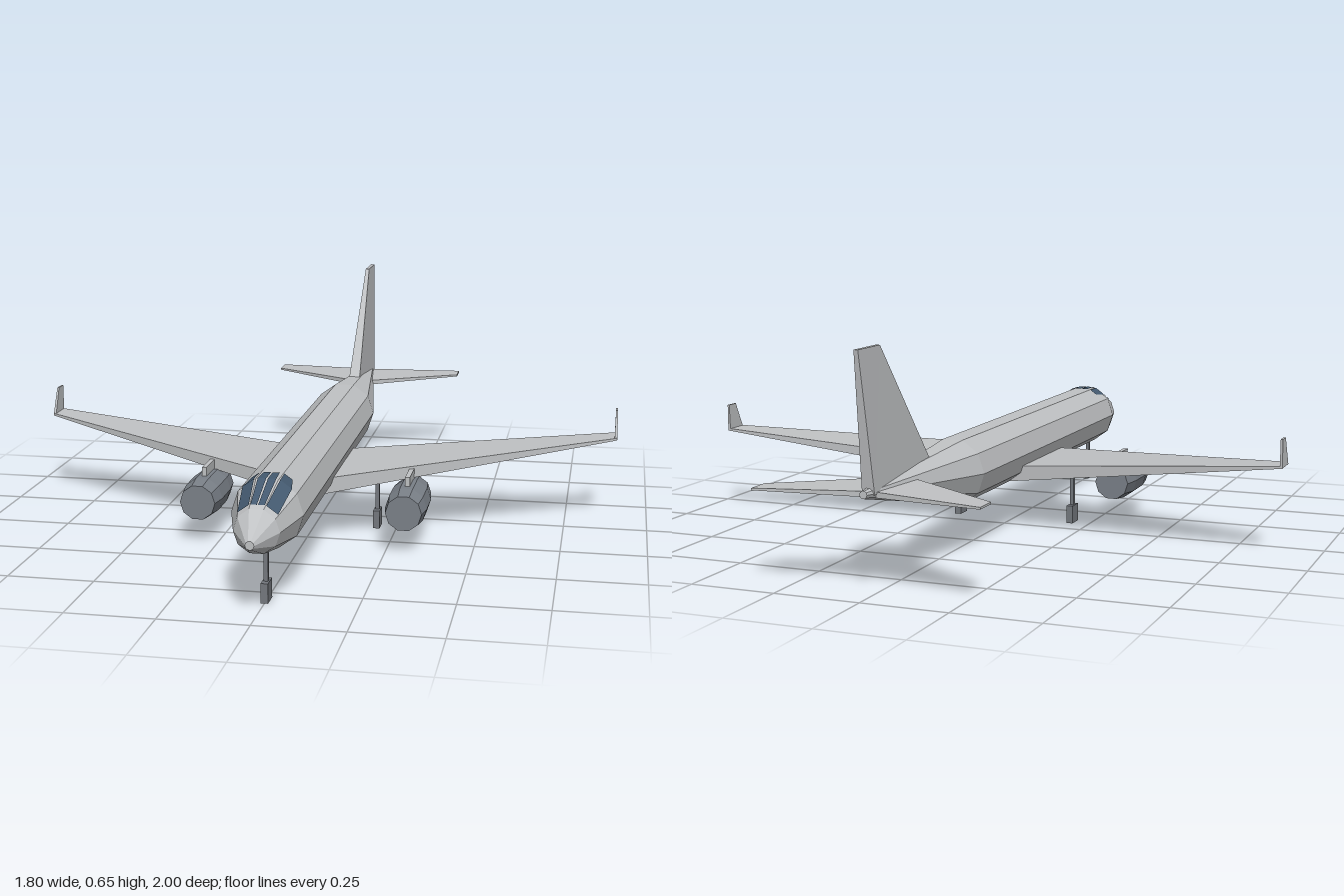
import * as THREE from 'three';

const mat = (name, color, side = THREE.FrontSide) =>
  new THREE.MeshStandardMaterial({ name, color, side, flatShading: true });

// Flat-shaded geometry from triangles given as Vector3 triples
function fromTriangles(tris) {
  const g = new THREE.BufferGeometry().setFromPoints(tris.flat());
  g.computeVertexNormals();
  return g;
}

// Closed skin through equal-sized loops of points, oriented outward
function loft(loops) {
  const tris = [], n = loops[0].length;
  for (let s = 0; s < loops.length - 1; s++) {
    const a = loops[s], b = loops[s + 1];
    for (let i = 0; i < n; i++) {
      const j = (i + 1) % n;
      tris.push([a[i], a[j], b[j]], [a[i], b[j], b[i]]);
    }
  }
  const first = loops[0], last = loops[loops.length - 1];
  for (let i = 1; i < n - 1; i++) {
    tris.push([first[0], first[i + 1], first[i]], [last[0], last[i], last[i + 1]]);
  }
  const volume = tris.reduce((v, [a, b, c]) => v + a.dot(b.clone().cross(c)), 0);
  return fromTriangles(volume < 0 ? tris.map(([a, b, c]) => [a, c, b]) : tris);
}

const SIDES = 10;
const ringPoint = (k, x, y, z, r) => {
  const a = (k / SIDES) * Math.PI * 2;
  return new THREE.Vector3(x + r * Math.cos(a), y + r * Math.sin(a), z);
};
const ring = (x, y, z, r) =>
  Array.from({ length: SIDES }, (_, k) => ringPoint(k, x, y, z, r));

// Lifting surface section: chord from front to back, thick in y
const chord = (x, zFront, zBack, yLow, yHigh) => [
  new THREE.Vector3(x, yLow, zFront), new THREE.Vector3(x, yHigh, zFront),
  new THREE.Vector3(x, yHigh, zBack), new THREE.Vector3(x, yLow, zBack),
];
// Upright section: chord from front to back, thick in x
const upright = (x, half, zFront, zBack, yFront, yBack = yFront) => [
  new THREE.Vector3(x - half, yFront, zFront), new THREE.Vector3(x + half, yFront, zFront),
  new THREE.Vector3(x + half, yBack, zBack), new THREE.Vector3(x - half, yBack, zBack),
];

// Fuselage stations: z, centre height, radius
const STATIONS = [
  [1.0, 0.212, 0.012], [0.92, 0.225, 0.062], [0.79, 0.235, 0.098],
  [-0.4, 0.235, 0.098], [-0.97, 0.275, 0.011],
];

// Point on facet k of the fuselage at z, u across the facet, slightly raised
function skin(k, u, z) {
  const i = Math.max(0, STATIONS.findIndex((s) => s[0] <= z) - 1);
  const [z0, y0, r0] = STATIONS[i], [z1, y1, r1] = STATIONS[i + 1];
  const t = (z - z0) / (z1 - z0);
  const y = THREE.MathUtils.lerp(y0, y1, t);
  const r = THREE.MathUtils.lerp(r0, r1, t) + 0.003;
  return ringPoint(k, 0, y, z, r).lerp(ringPoint(k + 1, 0, y, z, r), u);
}

// Thin window pane on one facet; rows are [z, u start, u end]
function pane(k, rows) {
  const tris = [];
  for (let i = 0; i < rows.length - 1; i++) {
    const [za, a0, a1] = rows[i], [zb, b0, b1] = rows[i + 1];
    const p = skin(k, a0, za), q = skin(k, a1, za), r = skin(k, b1, zb), s = skin(k, b0, zb);
    tris.push([p, q, r], [p, r, s]);
  }
  return fromTriangles(tris);
}

export function createModel() {
  const model = new THREE.Group();
  model.name = 'airliner';
  const body = mat('bodyGrey', 0xc0c2c4);
  const engine = mat('engineGrey', 0x7a8088);
  const gear = mat('gearGrey', 0x74787e);
  const glass = mat('windowBlue', 0x445a70, THREE.DoubleSide);

  const add = (name, geometry, material, parent = model) => {
    const mesh = new THREE.Mesh(geometry, material);
    mesh.name = name;
    parent.add(mesh);
    return mesh;
  };
  const box = (name, w, h, d, x, y, z, material, parent) =>
    add(name, new THREE.BoxGeometry(w, h, d), material, parent).position.set(x, y, z);

  // Fuselage and fin
  add('fuselage', loft(STATIONS.map(([z, y, r]) => ring(0, y, z, r))), body);
  add('tailFin', loft([
    upright(0, 0.018, -0.6, -0.94, 0.31, 0.27),
    upright(0, 0.006, -0.875, -1.0, 0.65),
  ]), body);

  // Cockpit windows: two centre panes and one on each shoulder
  const windows = new THREE.Group();
  windows.name = 'cockpitWindows';
  model.add(windows);
  add('centrePaneLeft', pane(2, [[0.905, 0.06, 0.46], [0.79, 0.1, 0.46], [0.73, 0.16, 0.46]]), glass, windows);
  add('centrePaneRight', pane(2, [[0.905, 0.54, 0.94], [0.79, 0.54, 0.9], [0.73, 0.54, 0.84]]), glass, windows);
  const shoulder = [[0.905, 0.06, 0.95], [0.79, 0.3, 0.92], [0.73, 0.52, 0.95]];
  add('sidePaneLeft', pane(1, shoulder), glass, windows);
  add('sidePaneRight', pane(3, shoulder.map(([z, a, b]) => [z, 1 - b, 1 - a])), glass, windows);

  for (const s of [1, -1]) {
    const side = new THREE.Group();
    side.name = s > 0 ? 'leftSide' : 'rightSide';
    model.add(side);

    // Wing with upturned tip
    add('wing', loft([
      chord(0, 0.32, -0.055, 0.142, 0.192),
      chord(s * 0.9, -0.067, -0.145, 0.261, 0.268),
    ]), body, side);
    add('winglet', loft([
      upright(s * 0.897, 0.004, -0.067, -0.145, 0.262),
      upright(s * 0.897, 0.003, -0.107, -0.147, 0.345),
    ]), body, side);

    // Tailplane
    add('tailplane', loft([
      chord(0, -0.705, -0.925, 0.26, 0.276),
      chord(s * 0.325, -0.905, -0.975, 0.264, 0.27),
    ]), body, side);

    // Engine and pylon
    add('engine', loft([
      ring(s * 0.305, 0.125, 0.37, 0.053), ring(s * 0.305, 0.125, 0.31, 0.061),
      ring(s * 0.305, 0.125, 0.21, 0.061), ring(s * 0.305, 0.125, 0.14, 0.053),
    ]), engine, side);
    box('pylon', 0.014, 0.035, 0.17, s * 0.305, 0.193, 0.2, body, side);

    // Main landing gear
    box('mainStrut', 0.012, 0.11, 0.012, s * 0.19, 0.095, 0.1, gear, side);
    box('mainWheel', 0.02, 0.055, 0.052, s * 0.19, 0.0275, 0.1, gear, side);
  }

  // Nose landing gear
  box('noseStrut', 0.012, 0.12, 0.012, 0, 0.1, 0.81, gear);
  box('noseWheel', 0.02, 0.055, 0.052, 0, 0.0275, 0.81, gear);
  return model;
}
